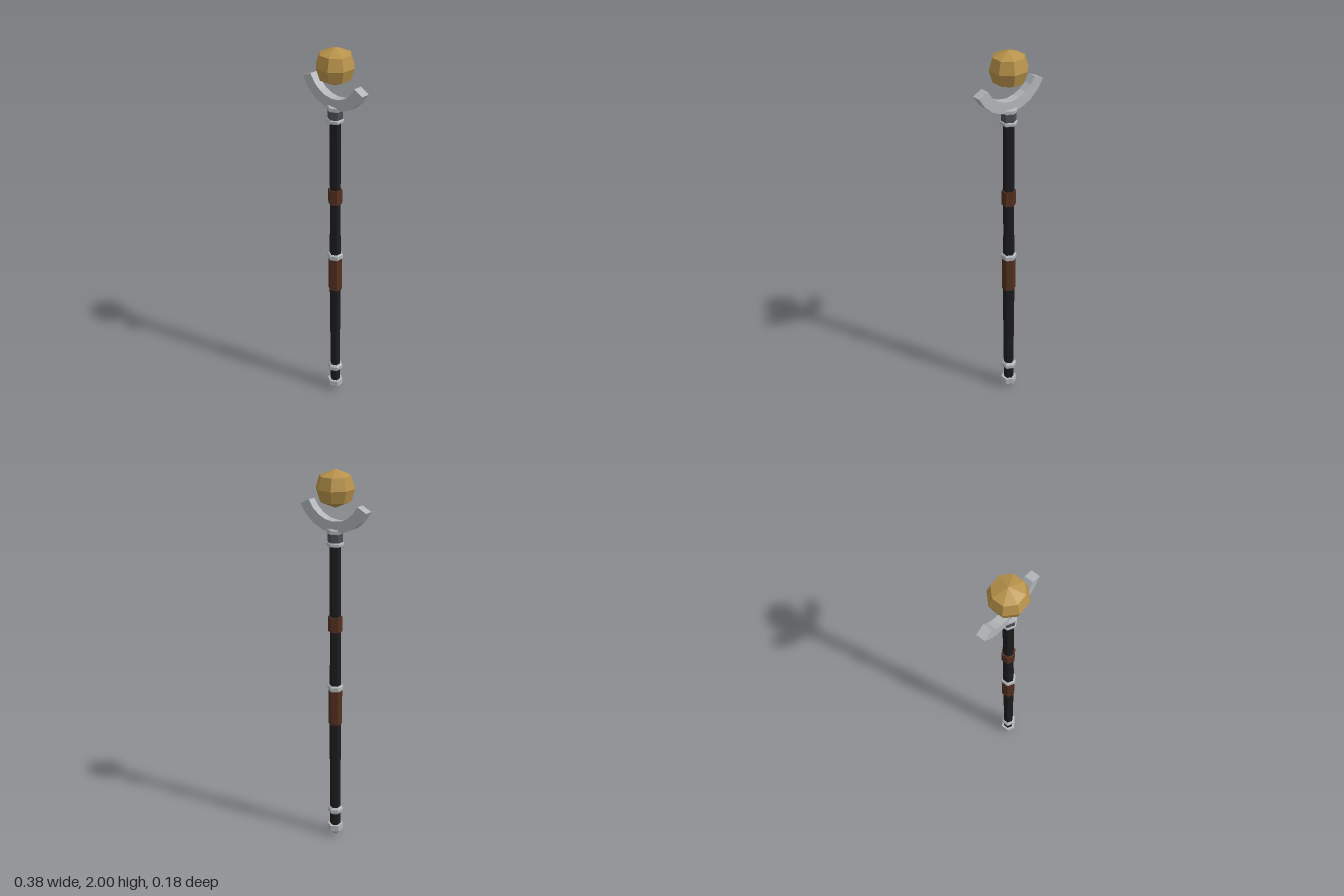
import * as THREE from 'three';

export function createModel() {
  const model = new THREE.Group();
  model.name = 'staff';

  const paint = (name, color) => {
    const m = new THREE.MeshStandardMaterial({ color, flatShading: true });
    m.name = name;
    return m;
  };
  const black = paint('blackWood', 0x1c1c1e);
  const brown = paint('brownLeather', 0x54301f);
  const silver = paint('silver', 0xb2b6b9);
  const steel = paint('darkSteel', 0x4a4f56);
  const gold = paint('gold', 0xb8924a);

  const add = (name, geometry, material) => {
    const mesh = new THREE.Mesh(geometry, material);
    mesh.name = name;
    model.add(mesh);
    return mesh;
  };
  // Faceted solid turned around the y axis; profile is [radius, y] from bottom to top
  const turned = (name, profile, material, sides = 6) =>
    add(name, new THREE.LatheGeometry(profile.map(([r, y]) => new THREE.Vector2(r, y)), sides), material);
  // Closed hexagonal sleeve
  const sleeve = (name, r, y0, y1, material) =>
    turned(name, [[0, y0], [r, y0], [r, y1], [0, y1]], material);
  // Hexagonal ring with bevelled rims
  const ring = (name, r, y0, y1, bevel) =>
    turned(name, [[0, y0], [r - bevel, y0], [r, y0 + bevel], [r, y1 - bevel], [r - bevel, y1], [0, y1]], silver);

  // Shaft
  sleeve('shaft', 0.028, 0.05, 1.64, black);
  sleeve('middleShaft', 0.03, 0.46, 1.0, black);

  // Foot
  turned('footCap', [[0, 0], [0.012, 0.004], [0.042, 0.032], [0.042, 0.066], [0, 0.068]], silver);
  ring('footRing', 0.041, 0.135, 0.174, 0.01);

  // Leather grips and middle ring
  sleeve('lowerGrip', 0.036, 0.675, 0.865, brown);
  sleeve('upperGrip', 0.036, 1.188, 1.267, brown);
  ring('middleRing', 0.041, 0.862, 0.894, 0.006);

  // Collar under the crescent
  ring('collarLowerRim', 0.043, 1.628, 1.648, 0.004);
  sleeve('collarCore', 0.037, 1.645, 1.695, steel);
  ring('collarUpperRim', 0.043, 1.69, 1.714, 0.004);

  // Crescent cradle, concentric with the orb
  const orbY = 1.909;
  const inner = 0.157, outer = 0.213, steps = 8;
  const start = Math.PI + 0.45, sweep = Math.PI - 0.9;
  const arc = (r) => Array.from({ length: steps + 1 }, (_, i) => {
    const a = start + (sweep * i) / steps;
    return new THREE.Vector2(r * Math.cos(a), r * Math.sin(a));
  });
  const crescentShape = new THREE.Shape([...arc(outer), ...arc(inner).reverse()]);
  const crescent = new THREE.ExtrudeGeometry(crescentShape, { depth: 0.045, bevelEnabled: false });
  crescent.translate(0, orbY, -0.0225);
  add('crescent', crescent, silver);

  // Eight-sided floating orb with flat sides facing the axes
  const orb = turned('orb', [[0, -0.094], [0.0775, -0.06], [0.0957, 0], [0.0775, 0.06], [0, 0.091]], gold, 8);
  orb.position.y = orbY;
  orb.rotation.y = Math.PI / 8;

  return model;
}
